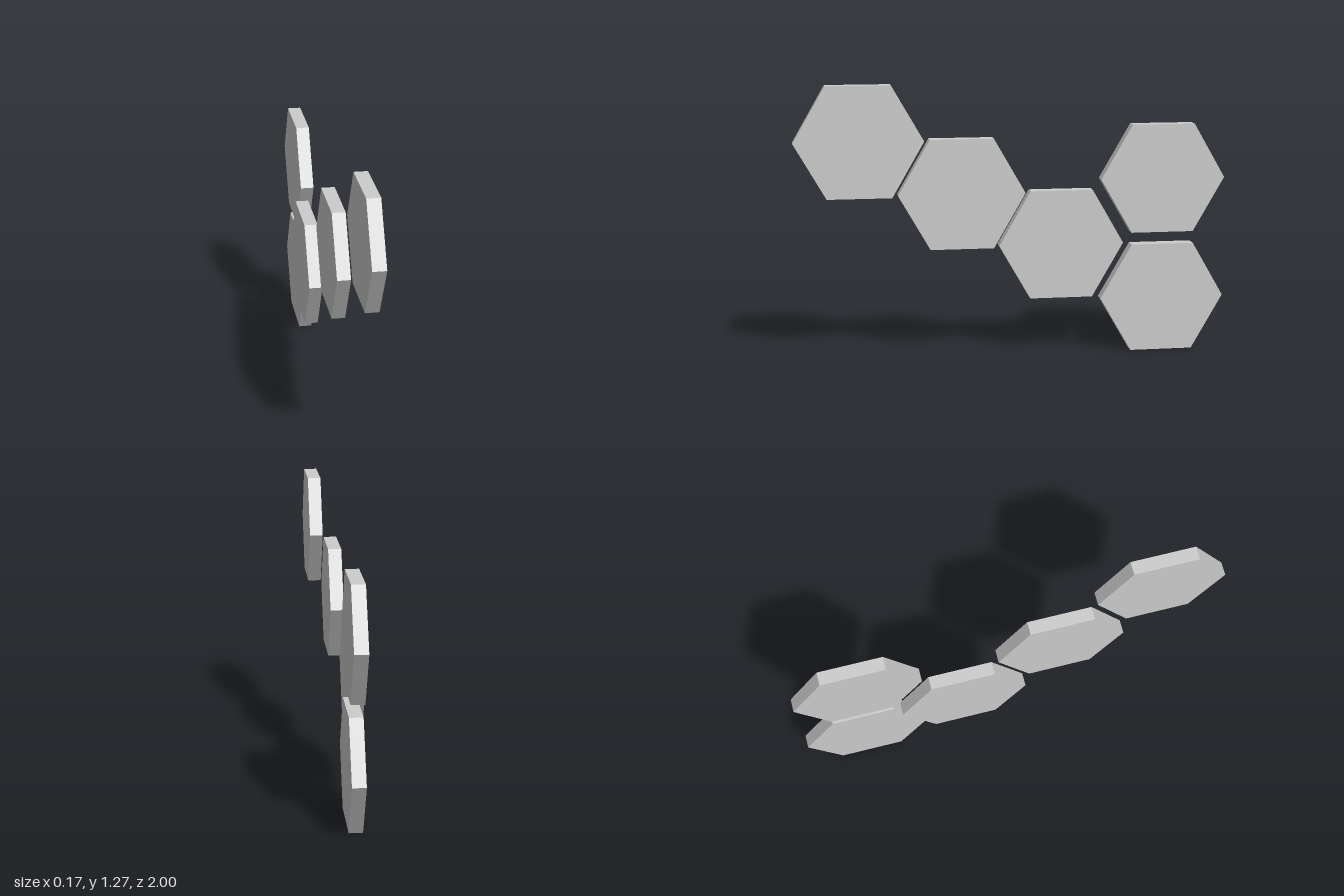
import * as THREE from 'three';

const RADIUS = 0.293;   // centre to corner
const THICKNESS = 0.061;

// Panel centres: x offset staggers each tile in depth
const PANELS = [
  { name: 'frontPanel', at: [0.055, 1.021, 0.707] },
  { name: 'upperMiddlePanel', at: [-0.007, 0.766, 0.237] },
  { name: 'lowerMiddlePanel', at: [-0.058, 0.511, -0.234] },
  { name: 'rearUpperPanel', at: [-0.027, 0.816, -0.707] },
  { name: 'rearLowerPanel', at: [-0.02, 0.254, -0.707] },
];

export function createModel() {
  const group = new THREE.Group();
  group.name = 'hexagonPanels';

  const grey = new THREE.MeshStandardMaterial({ color: 0xcccccc, flatShading: true });
  grey.name = 'light grey';

  // Hexagonal prism lying along x, corners pointing to front and back
  const hexagon = new THREE.CylinderGeometry(RADIUS, RADIUS, THICKNESS, 6);
  hexagon.rotateZ(Math.PI / 2);

  for (const { name, at } of PANELS) {
    const panel = new THREE.Mesh(hexagon, grey);
    panel.name = name;
    panel.position.set(...at);
    group.add(panel);
  }
  return group;
}
